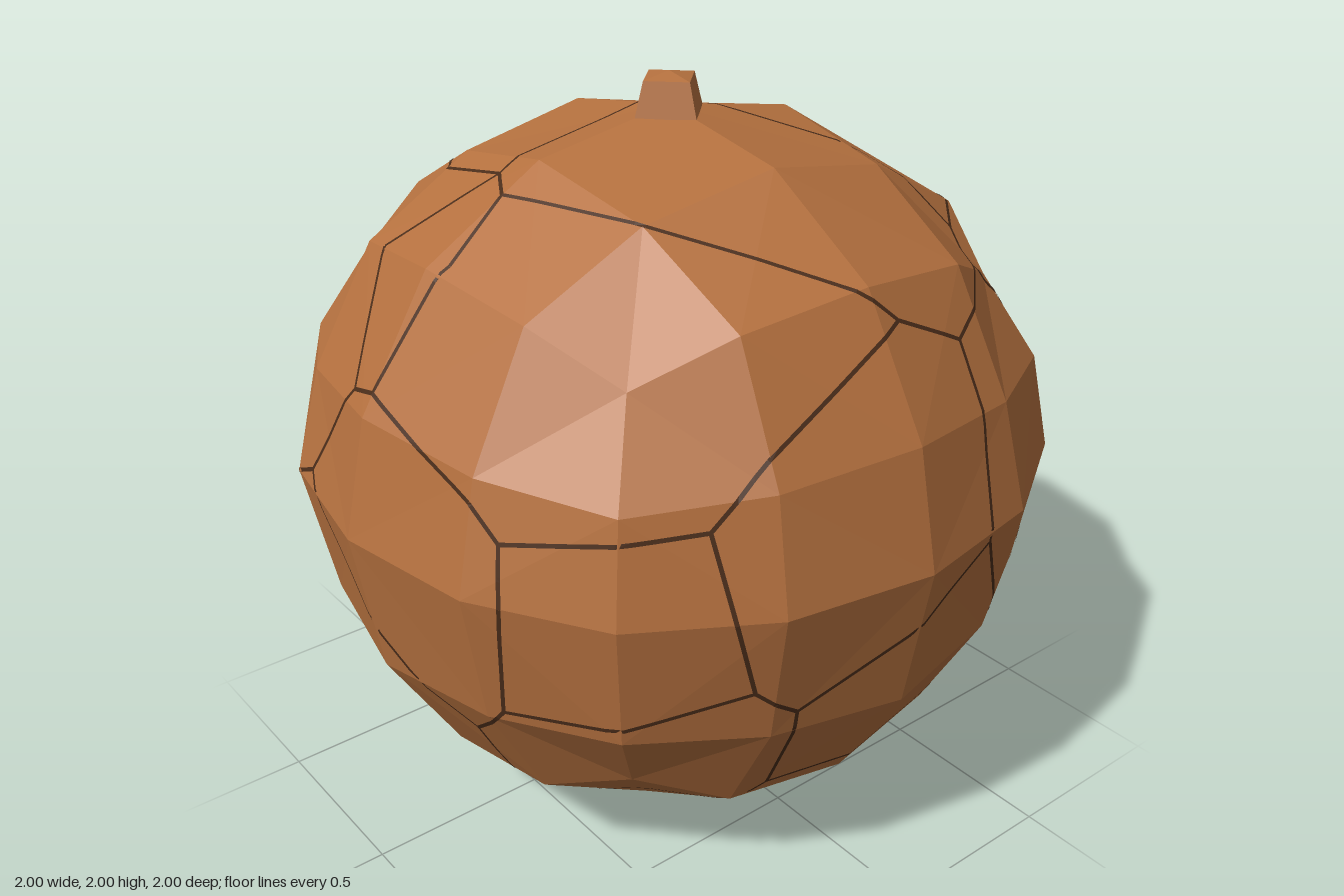
import * as THREE from 'three';

const CENTRE = new THREE.Vector3(0, 1, 0);
const brown = new THREE.MeshStandardMaterial({ color: 0xb5713f, flatShading: true });
const dark = new THREE.MeshStandardMaterial({ color: 0x4a2d1a, flatShading: true, side: THREE.DoubleSide });

// One quarter of a rounded cube face, indexed by |column| and |row|
const GRID = [
  [[0, 0, 1], [0, 0.4, 0.93], [0, 0.73, 0.73]],
  [[0.4, 0, 0.93], [0.375, 0.375, 0.86], [0.35, 0.69, 0.69]],
  [[0.73, 0, 0.73], [0.69, 0.35, 0.69], [0.58, 0.58, 0.58]],
];

// Lattice point of one of the six faces, with the upper half pressed down a little
function shellPoint(axis, sign, i, j) {
  const g = GRID[Math.abs(i)][Math.abs(j)];
  const local = [g[0] * Math.sign(i), g[1] * Math.sign(j), g[2]];
  const p = [0, 0, 0];
  for (let k = 0; k < 3; k++) p[(axis + 1 + k) % 3] = local[k] * sign;
  if (p[1] > 0.01) p[1] -= 0.09;
  return new THREE.Vector3(...p).add(CENTRE);
}

function shellTriangles() {
  const triangles = [];
  for (let axis = 0; axis < 3; axis++) for (const sign of [1, -1])
    for (let i = -2; i < 2; i++) for (let j = -2; j < 2; j++) {
      const [a, b, c, d] = [[i, j], [i + 1, j], [i + 1, j + 1], [i, j + 1]]
        .map(([u, v]) => shellPoint(axis, sign, u, v));
      // Split along the diagonal that runs away from the face centre
      const tris = i * 2 + 1 > 0 === j * 2 + 1 > 0 ? [[a, b, c], [a, c, d]] : [[a, b, d], [b, c, d]];
      for (const [p, q, r] of tris) triangles.push(sign > 0 ? [p, q, r] : [p, r, q]);
    }
  return triangles;
}

// Junctions where the cracks meet
const N = {
  f1: [-0.3, 1.05, 0.95], f2: [-0.1, 1.35, 0.92], f3: [0, 1.375, 0.92], f4: [0.46, 1.15, 0.856],
  f5: [0, 1.76, 0.5], f6: [0.8, 1.215, 0.52], f7: [0.42, 0.66, 0.84], f8: [0.86, 0.78, 0.43],
  f9: [-0.1, 1.79, 0.45], t: [0.38, 1.77, 0.37], g: [0.255, 0.5, 0.82], h: [0.2, 0.21, 0.6],
  r1: [0.75, 1.54, -0.06], r2: [0.9, 0.68, 0.32], r3: [0.97, 0.975, -0.257], r4: [0.8, 1.465, -0.265],
  r5: [0.66, 0.45, -0.5], r6: [0.72, 0.36, 0.26], p: [-0.12, 1.88, -0.03],
  l1: [-0.78, 1.53, 0.03], l2: [-0.6, 1.57, -0.39], l3: [-0.58, 1.54, -0.47], a: [-0.85, 0.61, 0.34],
  b1: [-0.22, 1.5, -0.81], b3: [0.46, 1.577, -0.56], b4: [0.6, 1.53, -0.51], b7: [0.62, 1.36, -0.7],
  k: [-0.4, 0.84, -0.9], k2: [-0.57, 0.79, -0.77], m: [-0.81, 0.42, 0.02], q: [0.4, 0.16, -0.4],
};

// Each crack runs through junctions or loose points
const CRACKS = [
  ['a', [-0.7, 0.81, 0.66], 'f1', 'f2', 'f3', [0.38, 1.23, 0.88], 'f4', 'f6', 'f8', 'f7'],
  ['f2', [-0.25, 1.6, 0.68], 'f9', 'f5', 't', 'r1', 'r4', 'b4', 'b3', 'p', 'f9'],
  ['f3', [0.05, 1.63, 0.67], 'f5'],
  ['f4', [0.475, 1, 0.86], 'f7', 'g', 'f1'],
  ['g', 'h', 'r6', 'r2', 'f8'],
  ['f6', [0.79, 1.34, 0.36], 'r1'],
  ['r2', 'r3', 'r4'], ['r3', 'r5', [0.75, 0.34, 0], 'r6'],
  ['b4', 'b7', [0.64, 0.98, -0.78], 'r5', 'q', [-0.45, 0.53, -0.77], 'k2'],
  ['b7', 'k', 'r5'],
  ['b3', [0, 1.53, -0.78], 'b1', 'k', 'k2', [-0.7, 1.2, -0.68], 'l3', 'b1'],
  ['f9', [-0.36, 1.72, 0.43], 'l1', [-0.94, 1.25, 0.19], 'a', 'm', 'k2'],
  ['l1', 'l2', 'l3'], ['l2', 'p'],
  ['q', [0, 0.03, 0.2], 'h'], ['h', [-0.1, 0.09, 0.4], [-0.42, 0.1, 0.15], 'm'],
];

// Thin strip that follows the facets along a crack
function crackGeometry(path, triangles) {
  const HALF = 0.0055, STEPS = 14;
  const ray = new THREE.Ray(CENTRE), hit = new THREE.Vector3();
  const onShell = (dir) => {
    ray.direction.copy(dir).normalize();
    for (const [a, b, c] of triangles)
      if (ray.intersectTriangle(a, b, c, false, hit))
        return hit.clone().addScaledVector(ray.direction, 0.002);
    return ray.at(1, new THREE.Vector3());
  };
  const dirs = path.map((n) => new THREE.Vector3(...(N[n] || n)).sub(CENTRE).normalize());
  const positions = [], index = [];
  for (let s = 0; s + 1 < dirs.length; s++) {
    const side = dirs[s].clone().cross(dirs[s + 1]).normalize().multiplyScalar(HALF);
    for (let i = 0; i <= STEPS; i++) {
      const d = dirs[s].clone().lerp(dirs[s + 1], i / STEPS).normalize();
      const n = positions.length / 3;
      positions.push(...onShell(d.clone().add(side)), ...onShell(d.clone().sub(side)));
      if (i < STEPS) index.push(n, n + 1, n + 2, n + 1, n + 3, n + 2);
    }
  }
  const geometry = new THREE.BufferGeometry();
  geometry.setAttribute('position', new THREE.Float32BufferAttribute(positions, 3));
  geometry.setIndex(index);
  geometry.computeVertexNormals();
  return geometry;
}

export function createModel() {
  const model = new THREE.Group();
  model.name = 'crackedBall';
  const add = (name, geometry, material, parent = model) => {
    const mesh = new THREE.Mesh(geometry, material);
    mesh.name = name;
    parent.add(mesh);
  };

  // Faceted round body
  const triangles = shellTriangles();
  const body = new THREE.BufferGeometry().setFromPoints(triangles.flat());
  body.computeVertexNormals();
  add('body', body, brown);

  // Square stem with a slightly raised tip
  const profile = [[0.12, 1.86], [0.11, 1.89], [0.083, 1.98], [0, 1.995]].map(([r, y]) => new THREE.Vector2(r, y));
  add('stem', new THREE.LatheGeometry(profile, 4), brown);

  // Crack lines between the shards
  const cracks = new THREE.Group();
  cracks.name = 'cracks';
  CRACKS.forEach((path, i) => add(`crack${i + 1}`, crackGeometry(path, triangles), dark, cracks));
  model.add(cracks);
  return model;
}
